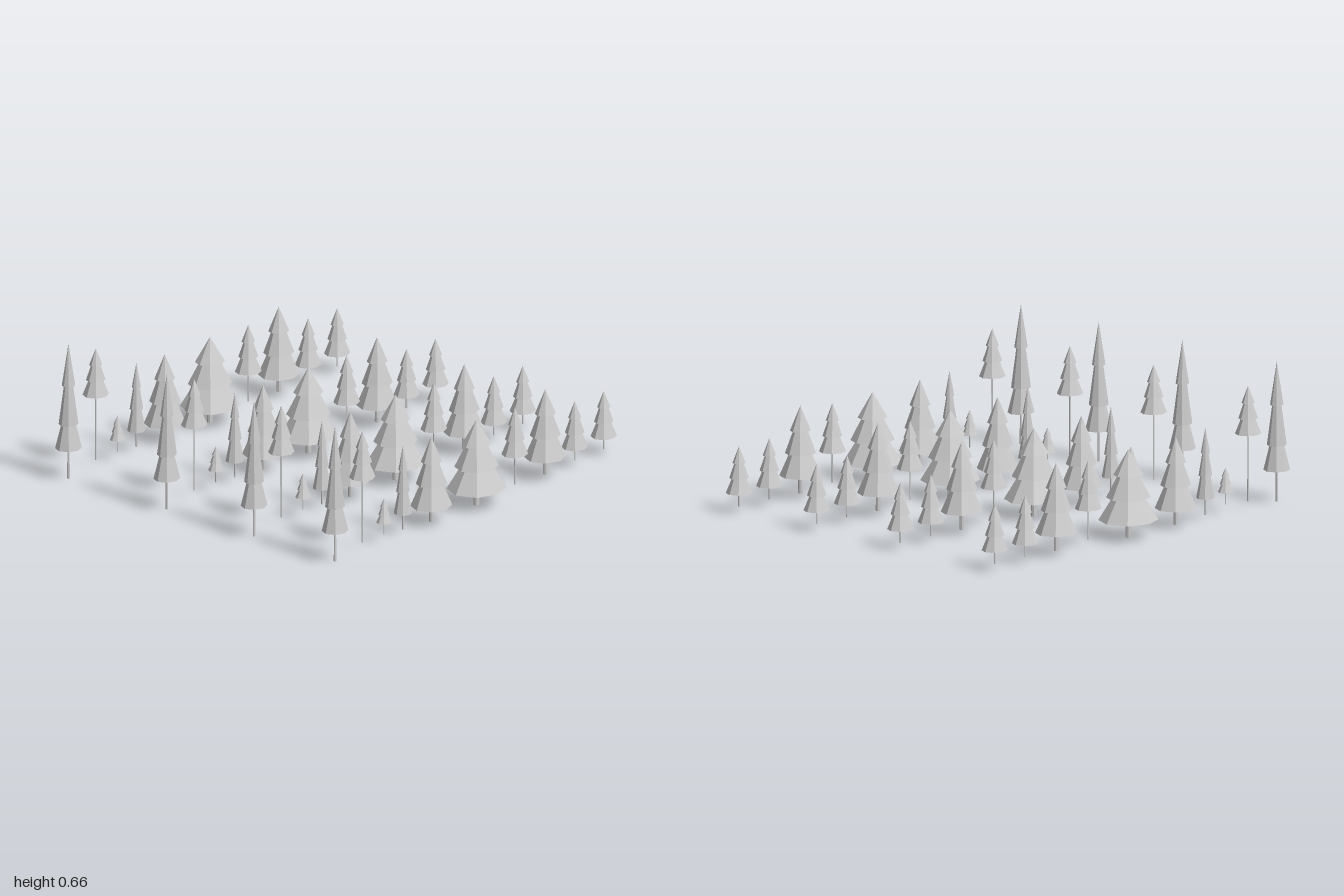
import * as THREE from 'three';

// One row of trees: x, z offset, base, foliage bottom, top, radius, trunk radius, tier heights (fractions)
const even = [0.32, 0.64];
const TREES = [
  [-0.937, 0.01, 0.0, 0.15, 0.66, 0.064, 0.006, [0.23, 0.6]],
  [-0.74, 0.002, 0.035, 0.355, 0.58, 0.063, 0.004, even],
  [-0.605, 0.015, 0.04, 0.1, 0.215, 0.037, 0.003, even],
  [-0.457, 0.0, 0.02, 0.1, 0.43, 0.044, 0.004, even],
  [-0.265, 0.003, 0.005, 0.085, 0.42, 0.1, 0.01, even],
  [0.05, 0.0, 0.0, 0.083, 0.415, 0.143, 0.014, even],
  [0.307, 0.007, 0.03, 0.178, 0.405, 0.064, 0.004, even],
  [0.525, 0.0, 0.018, 0.103, 0.432, 0.1, 0.011, even],
  [0.735, -0.006, 0.025, 0.09, 0.315, 0.063, 0.004, even],
  [0.933, -0.004, 0.025, 0.09, 0.31, 0.063, 0.004, even],
];
const ROWS = [-0.823, -0.219, 0.316, 0.813];

const material = new THREE.MeshStandardMaterial({ color: 0xcccccc, flatShading: true });

// Three flared tiers in one faceted profile, closed underneath
function foliageGeometry(bottom, top, r, [f1, f2]) {
  const p = (radius, f) => new THREE.Vector2(radius * r, bottom + f * (top - bottom));
  return new THREE.LatheGeometry([
    p(0, 0.02), p(1, 0), p(0.5, f1 + 0.02),
    p(0.74, f1), p(0.32, f2 + 0.02),
    p(0.5, f2), p(0, 1),
  ], 8).scale(1, 1, 0.93);
}

function createTree([x, dz, base, bottom, top, r, trunkR, tiers]) {
  const tree = new THREE.Group();
  tree.name = 'tree';

  const foliage = new THREE.Mesh(foliageGeometry(bottom, top, r, tiers), material);
  foliage.name = 'foliage';

  // Trunk reaches a little way into the foliage
  const height = bottom + 0.02 - base;
  const trunk = new THREE.Mesh(
    new THREE.CylinderGeometry(trunkR * 0.9, trunkR, height, 8), material);
  trunk.position.y = base + height / 2;
  trunk.name = 'trunk';

  tree.add(foliage, trunk);
  tree.position.set(x, 0, dz);
  return tree;
}

export function createModel() {
  const forest = new THREE.Group();
  forest.name = 'forest';
  const row = new THREE.Group();
  TREES.forEach((t) => row.add(createTree(t)));

  // The same row repeats from back to front
  ROWS.forEach((z) => {
    const copy = row.clone();
    copy.name = 'treeRow';
    copy.position.z = z;
    forest.add(copy);
  });
  return forest;
}
